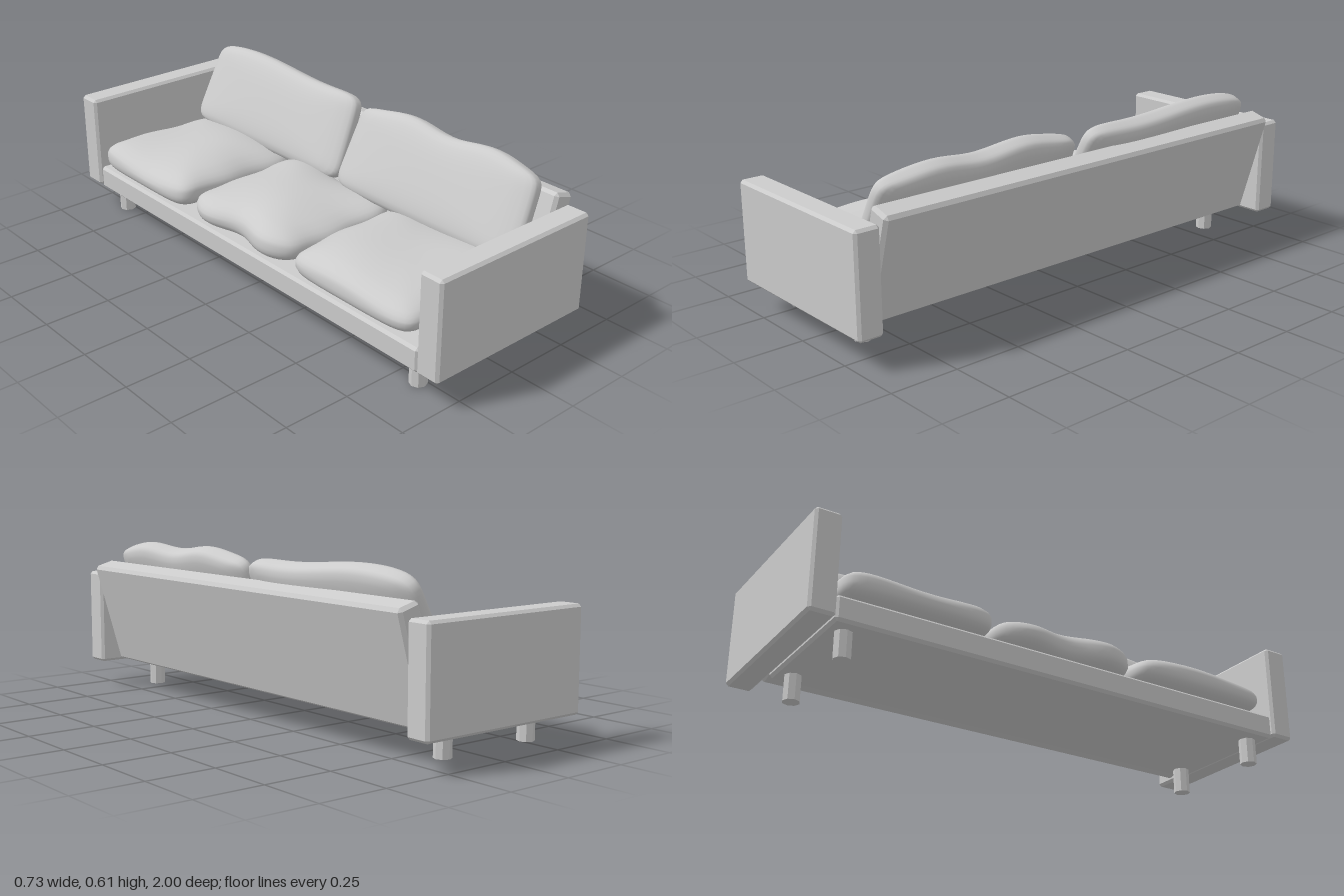
import * as THREE from 'three';
import { mergeVertices } from 'three/addons/utils/BufferGeometryUtils.js';
import { ConvexGeometry } from 'three/addons/geometries/ConvexGeometry.js';

const smooth = new THREE.MeshStandardMaterial({ color: 0xcccccc });
const flat = new THREE.MeshStandardMaterial({ color: 0xcccccc, flatShading: true });

function add(parent, name, geometry, material, x, y, z) {
  const mesh = new THREE.Mesh(geometry, material);
  mesh.name = name;
  mesh.position.set(x, y, z);
  parent.add(mesh);
  return mesh;
}

// Box with every edge cut off by a small chamfer
function chamferBox(w, h, d, c) {
  const points = [];
  for (const sx of [-1, 1]) for (const sy of [-1, 1]) for (const sz of [-1, 1]) {
    for (let full = 0; full < 3; full++) {
      points.push(new THREE.Vector3(
        sx * (w / 2 - (full === 0 ? 0 : c)),
        sy * (h / 2 - (full === 1 ? 0 : c)),
        sz * (d / 2 - (full === 2 ? 0 : c))));
    }
  }
  return new ConvexGeometry(points);
}

// Soft pillow: a grid box drawn onto a superellipsoid (thin along y), then rumpled.
// a, b, c are half sizes; p rounds the rim, q rounds the outline.
function pillow(a, b, c, p, q, rumple) {
  let g = new THREE.BoxGeometry(2, 2, 2, 20, 10, 24);
  g.deleteAttribute('uv');
  g.deleteAttribute('normal');
  g = mergeVertices(g);
  const pos = g.attributes.position;
  const v = new THREE.Vector3();
  for (let i = 0; i < pos.count; i++) {
    v.fromBufferAttribute(pos, i);
    const outline = Math.pow(Math.abs(v.x) ** q + Math.abs(v.z) ** q, 1 / q);
    v.divideScalar(Math.pow(outline ** p + Math.abs(v.y) ** p, 1 / p));
    rumple(v);
    pos.setXYZ(i, v.x * a, v.y * b, v.z * c);
  }
  g.computeVertexNormals();
  return g;
}

export function createModel() {
  const sofa = new THREE.Group();
  sofa.name = 'sofa';

  // Frame
  add(sofa, 'base', chamferBox(0.53, 0.09, 1.81, 0.01), flat, -0.085, 0.14, 0);
  const back = add(sofa, 'backrest', chamferBox(0.088, 0.405, 1.81, 0.012), flat, 0.27, 0.314, 0);
  back.rotation.z = -0.28;

  // Arms and legs, mirrored across the length
  for (const side of [-1, 1]) {
    add(sofa, 'arm', chamferBox(0.696, 0.368, 0.095, 0.01), flat, -0.009, 0.286, side * 0.9525);
    for (const x of [-0.274, 0.116]) {
      add(sofa, 'leg', new THREE.CylinderGeometry(0.031, 0.031, 0.1, 8), flat, x, 0.05, side * 0.842);
    }
  }

  // Seat cushions; the middle one is pinched at the front
  [[-0.887, -0.312], [-0.308, 0.278], [0.28, 0.88]].forEach(([z0, z1], k) => {
    const g = pillow(0.285, 0.07, (z1 - z0) / 2, 2.8, 10, (v) => {
      const { x, z } = v;
      const crown = (1 - x * x) * (1 - z * z);
      if (v.y > 0) v.y += 0.2 * crown + 0.1 * Math.sin(3.2 * z + 2 * x + 2 * k);
      v.x *= 1 - 0.07 * z ** 4 - (k === 1 ? 0.06 * (1 + Math.cos(5.5 * z)) : 0);
      v.z *= 1 - 0.02 * (1 + Math.sin(7 * x));
    });
    add(sofa, 'seatCushion', g, smooth, -0.083, 0.245, (z0 + z1) / 2);
  });

  // Back cushions, leaning on the backrest; local x runs up the cushion
  for (const side of [-1, 1]) {
    const g = pillow(0.17, 0.052, 0.438, 4, 9, (v) => {
      const z = v.z * side;
      const wave = side > 0 ? Math.cos(7 * (z - 0.48)) : Math.cos(3.5 * (z - 0.42));
      if (v.x > 0) v.x *= 1 + 0.055 * wave - 0.03 * z ** 4;
      v.y *= 1 + 0.1 * (1 - v.x * v.x) * (1 - z * z) - 0.15 * z ** 6;
      v.y -= 0.1 * Math.sin(3 * z) * side;
      v.z *= 1 - 0.025 * (1 + v.x);
    });
    g.rotateZ(Math.PI / 2);
    const cushion = add(sofa, 'backCushion', g, smooth, side > 0 ? 0.193 : 0.204, 0.437, side * 0.441);
    cushion.rotation.z = -0.43;
  }
  return sofa;
}
